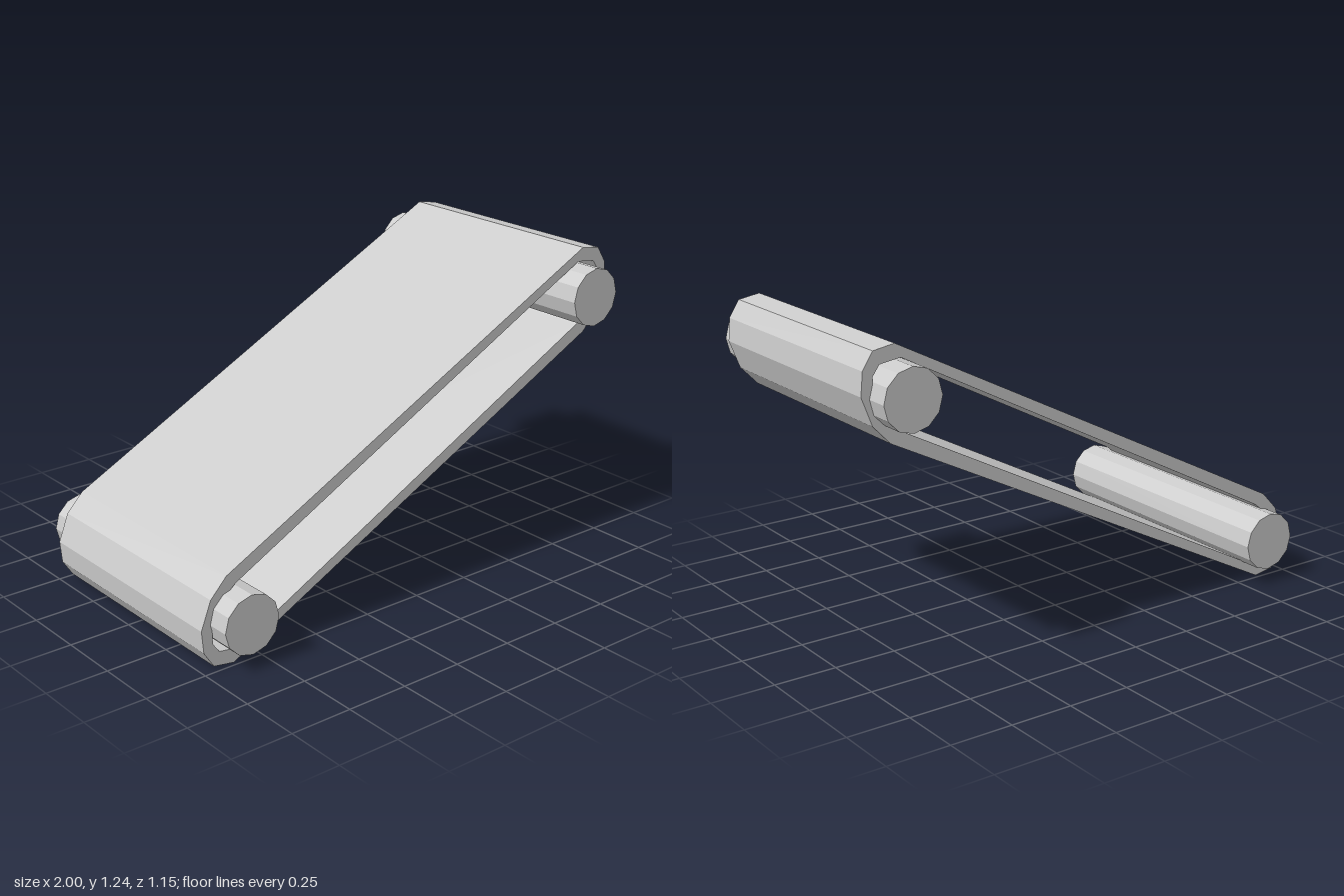
import * as THREE from 'three';

const CENTRE_Y = 0.622;

// Half of a loop (upper end), completed by a half turn about the middle
function fullLoop(half) {
  const turned = half.map(([x, y]) => [-x, 2 * CENTRE_Y - y]);
  return [...half, ...turned].map(([x, y]) => new THREE.Vector2(x, y));
}

export function createModel() {
  const model = new THREE.Group();
  const material = new THREE.MeshStandardMaterial({ color: 0xcccccc, flatShading: true });

  // Belt: a slanted faceted loop, hollow inside (the hole winds the other way)
  const outer = fullLoop([
    [0.863, 1.243], [0.95, 1.229], [0.992, 1.164], [1.0, 1.075], [0.957, 0.965], [0.887, 0.892],
  ]);
  const inner = fullLoop([
    [0.84, 1.19], [0.925, 1.178], [0.952, 1.14], [0.955, 1.06], [0.915, 0.985], [0.845, 0.93],
  ]).reverse();
  const profile = new THREE.Shape(outer);
  profile.holes.push(new THREE.Path(inner));
  const beltWidth = 0.966;
  const beltGeometry = new THREE.ExtrudeGeometry(profile, { depth: beltWidth, bevelEnabled: false });
  beltGeometry.translate(0, 0, -beltWidth / 2);
  const belt = new THREE.Mesh(beltGeometry, material);
  belt.name = 'belt';
  model.add(belt);

  // Rollers: one at each end, sticking out past the belt edges
  const rollerGeometry = new THREE.CylinderGeometry(0.118, 0.118, 1.148, 12);
  rollerGeometry.rotateX(Math.PI / 2);
  for (const side of [-1, 1]) {
    const roller = new THREE.Mesh(rollerGeometry, material);
    roller.name = side < 0 ? 'lowerRoller' : 'upperRoller';
    roller.position.set(side * 0.846 + 0.003, CENTRE_Y + side * 0.44, 0);
    model.add(roller);
  }

  return model;
}
